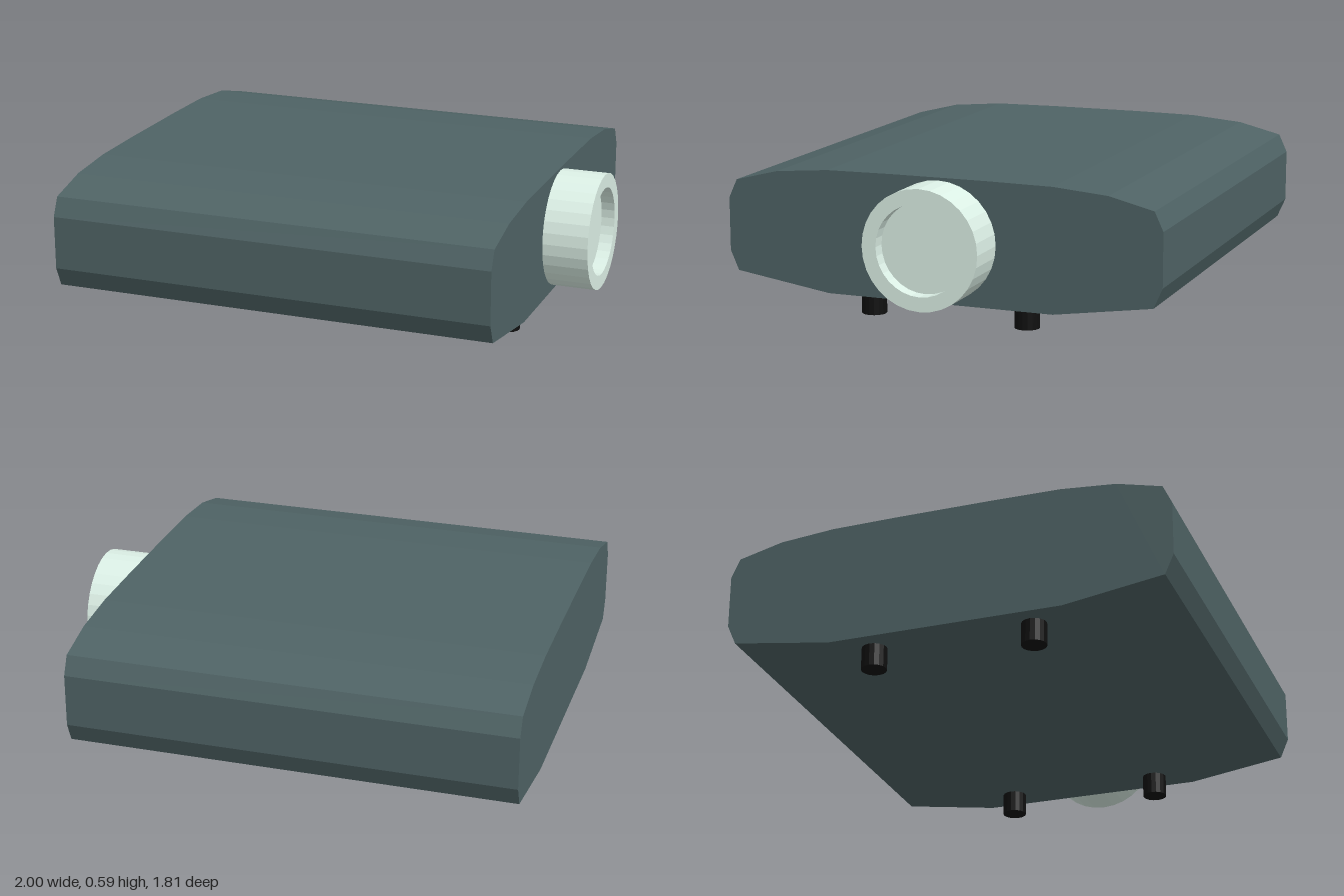
import * as THREE from 'three';

const material = (color) => new THREE.MeshStandardMaterial({ color, flatShading: true });

export function createModel() {
  const model = new THREE.Group();
  const add = (name, geometry, mat, x, y, z) => {
    const mesh = new THREE.Mesh(geometry, mat);
    mesh.name = name;
    mesh.position.set(x, y, z);
    model.add(mesh);
  };

  // Casing: a faceted, front-to-back symmetric section extruded along x
  const half = [
    [0.47, 0.09], [0.87, 0.15], [0.905, 0.23], [0.905, 0.445],
    [0.87, 0.52], [0.69, 0.565], [0.47, 0.584], [0.2, 0.587],
  ];
  const mirrored = half.map(([z, y]) => [-z, y]).reverse();
  const section = new THREE.Shape([...half, ...mirrored].map(([z, y]) => new THREE.Vector2(z, y)));
  const casing = new THREE.ExtrudeGeometry(section, { depth: 1.815, bevelEnabled: false });
  casing.rotateY(Math.PI / 2);
  add('casing', casing, material(0x4f6365), -1, 0, 0);

  // Lens barrel with a recessed glass disc, pointing to +x
  const barrelProfile = [[0, 0], [0.238, 0], [0.238, 0.185], [0.18, 0.185], [0.18, 0.13], [0, 0.13]];
  const barrel = new THREE.LatheGeometry(barrelProfile.map(([r, h]) => new THREE.Vector2(r, h)), 32);
  barrel.rotateZ(-Math.PI / 2);
  add('lensBarrel', barrel, material(0xdcf0e6), 0.815, 0.338, 0);

  // Four short round feet
  const foot = new THREE.CylinderGeometry(0.05, 0.05, 0.1, 16);
  const footMaterial = material(0x101010);
  for (const x of [-0.89, 0.705]) {
    for (const z of [-0.325, 0.325]) add('foot', foot, footMaterial, x, 0.05, z);
  }

  return model;
}
